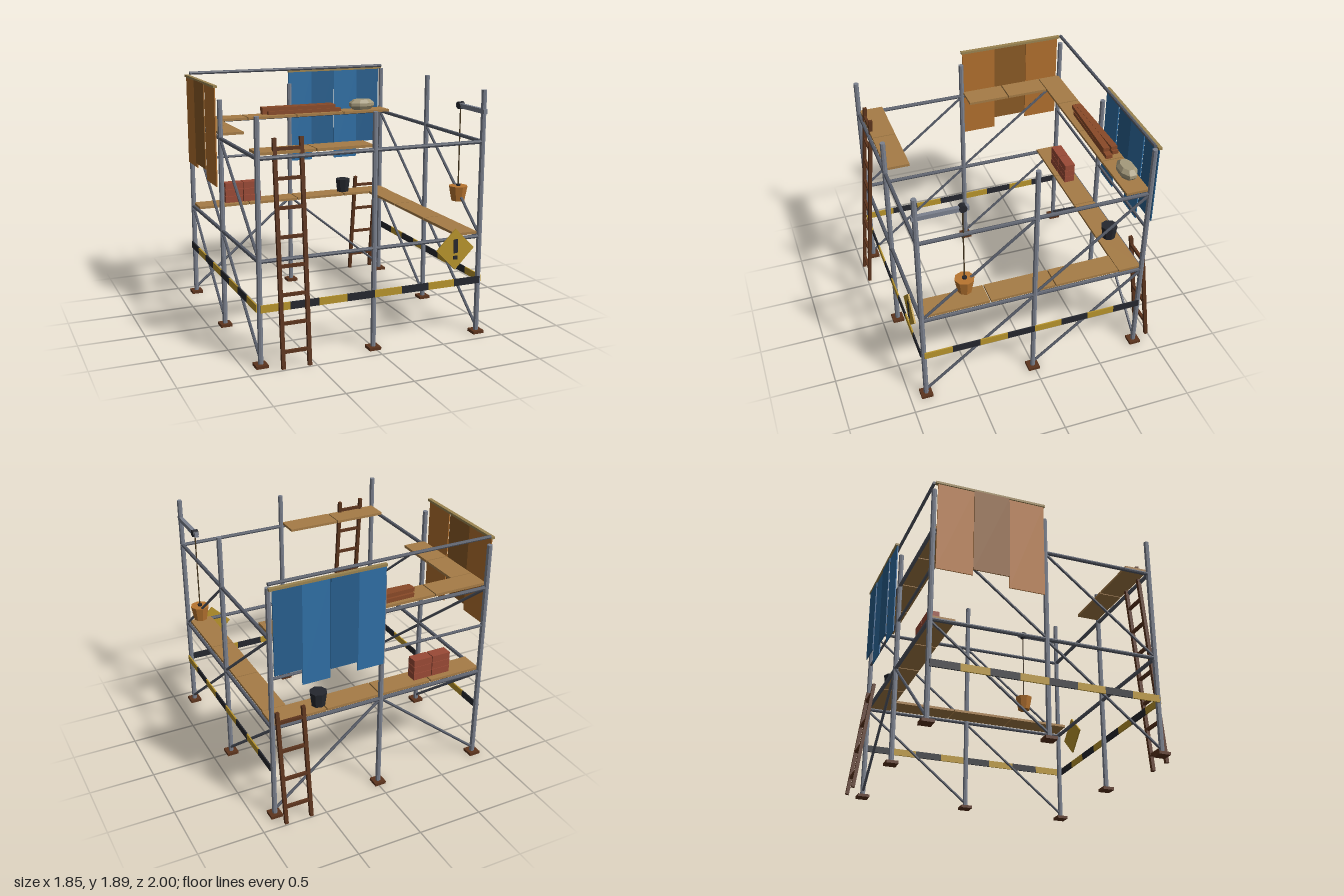
import * as THREE from 'three';

const H = 0.863, CX = -0.013, CZ = 0.01;      // half spacing and centre of the frame
const X = i => CX + i * H, Z = j => CZ + j * H;
const UP = new THREE.Vector3(0, 1, 0);
const V = (x, y, z) => new THREE.Vector3(x, y, z);

const mat = color => new THREE.MeshStandardMaterial({ color, flatShading: true });
const M = {
  post: mat(0x7b818e), rail: mat(0x585d69), wood: mat(0xa67c46), dark: mat(0x5c341d),
  beam: mat(0x8a4a28), blueA: mat(0x2f6fa5), blueB: mat(0x285f8e), tanA: mat(0xb06f2e),
  tanB: mat(0x8a5a26), yellow: mat(0xb8942c), black: mat(0x25272e), brick: mat(0x9a4a36),
  bucket: mat(0xb87530), sack: mat(0xa59a7c), rope: mat(0x4a3a22), bar: mat(0x9a8350),
};

export function createModel() {
  const root = new THREE.Group();
  root.name = 'scaffold';

  const group = name => {
    const g = new THREE.Group();
    g.name = name;
    root.add(g);
    return g;
  };
  const add = (parent, name, geo, m, x, y, z) => {
    const mesh = new THREE.Mesh(geo, m);
    mesh.name = name;
    mesh.position.set(x, y, z);
    parent.add(mesh);
    return mesh;
  };
  const box = (p, name, m, w, h, d, x, y, z) => add(p, name, new THREE.BoxGeometry(w, h, d), m, x, y, z);
  // round (or square) bar between two points
  const bar = (p, name, m, a, b, r, sides = 8) => {
    const dir = b.clone().sub(a);
    const c = a.clone().add(b).multiplyScalar(0.5);
    const mesh = add(p, name, new THREE.CylinderGeometry(r, r, dir.length(), sides), m, c.x, c.y, c.z);
    if (sides === 4) mesh.geometry.rotateY(Math.PI / 4);
    mesh.quaternion.setFromUnitVectors(UP, dir.normalize());
    return mesh;
  };

  // uprights on base plates
  const posts = group('uprights');
  [[-1, 1, 1.755], [0, 1, 1.74], [1, 1, 1.85], [1, 0, 1.87],
    [1, -1, 1.85], [0, -1, 1.75], [-1, -1, 1.81], [-1, 0, 1.76]].forEach(([i, j, h]) => {
    bar(posts, 'post', M.post, V(X(i), 0.01, Z(j)), V(X(i), h, Z(j)), 0.02);
    box(posts, 'basePlate', M.dark, 0.09, 0.022, 0.09, X(i), 0.011, Z(j));
  });

  // ledgers round both levels, guard rails at the back
  const rails = group('ledgers');
  for (const y of [0.76, 1.472]) for (const s of [-1, 1]) {
    bar(rails, 'ledger', M.rail, V(X(-1), y, Z(s)), V(X(1), y, Z(s)), 0.015);
    bar(rails, 'ledger', M.rail, V(X(s), y, Z(-1)), V(X(s), y, Z(1)), 0.015);
  }
  bar(rails, 'guardRail', M.rail, V(X(-1), 1.16, Z(-1)), V(X(1), 1.16, Z(-1)), 0.011);
  bar(rails, 'topRail', M.rail, V(X(-1), 1.873, Z(-1)), V(X(1), 1.873, Z(-1)), 0.013);

  // diagonal braces
  const braces = group('braces');
  for (const s of [-1, 1]) {
    bar(braces, 'backBrace', M.rail, V(X(s), 0.05, Z(-1)), V(X(0), 0.76, Z(-1)), 0.011, 6);
    for (const [y0, y1] of [[0.05, 0.75], [0.77, 1.465]]) for (const j of [0, 1])
      bar(braces, 'sideBrace', M.rail, V(X(s), y0, Z(j)), V(X(s), y1, Z(j - 1)), 0.011, 6);
  }

  // decks: four planks along the back of both levels, plus partial sides
  const deck = group('deckPlanks');
  for (const y of [0.783, 1.5]) for (let k = 0; k < 4; k++)
    box(deck, 'backPlank', M.wood, 0.422, 0.02, 0.175, X(-1) + 0.216 + k * 0.4315, y, -0.757);
  for (const z of [-0.5, -0.165])
    box(deck, 'leftPlank', M.wood, 0.18, 0.02, 0.325, -0.78, 1.5, z);
  for (const x of [-0.66, -0.232])
    box(deck, 'frontPlank', M.wood, 0.42, 0.02, 0.18, x, 1.5, 0.772);
  for (const z of [-0.415, 0.094, 0.603])
    box(deck, 'rightPlank', M.wood, 0.178, 0.02, 0.5, 0.75, 0.783, z);

  // striped barrier on the front and both sides
  const tape = group('barrierTape');
  const seg = H / 4;
  for (let k = 0; k < 8; k++) {
    const m = k % 2 ? M.black : M.yellow, t = (k + 0.5) * seg;
    box(tape, 'stripe', m, seg, 0.054, 0.01, X(-1) + t, 0.427, Z(1) + 0.021);
    for (const s of [-1, 1])
      box(tape, 'stripe', m, 0.01, 0.054, seg, X(s) + s * 0.021, 0.427, Z(1) - t);
  }

  // hanging sheets made of overlapping strips
  const blue = group('blueSheet');
  [1.075, 1.15, 1.075, 1.205].forEach((y, k) =>
    box(blue, 'strip', k % 2 ? M.blueB : M.blueA, 0.212, 1.85 - y, 0.008,
      0.097 + k * 0.212, (1.85 + y) / 2, -0.885 - (k % 2) * 0.009));
  box(blue, 'sheetBar', M.bar, 0.87, 0.018, 0.028, 0.425, 1.852, -0.888);
  const tan = group('tanSheet');
  [1.1, 1.185, 1.145].forEach((y, k) =>
    box(tan, 'strip', k % 2 ? M.tanB : M.tanA, 0.008, 1.85 - y, 0.275,
      -0.905 - (k % 2) * 0.01, (1.85 + y) / 2, -0.148 - k * 0.274));
  box(tan, 'sheetBar', M.bar, 0.03, 0.018, 0.85, -0.903, 1.855, -0.425);

  // leaning ladders
  const ladder = (name, xa, xb, zFoot, zTop, top, y0, step, n) => {
    const g = group(name);
    for (const x of [xa, xb])
      bar(g, 'ladderRail', M.dark, V(x, 0.005, zFoot), V(x, top, zTop), 0.019, 4);
    for (let k = 0; k < n; k++) {
      const y = y0 + k * step;
      box(g, 'rung', M.dark, xb - xa, 0.022, 0.022, (xa + xb) / 2, y, zFoot + (zTop - zFoot) * y / top);
    }
  };
  ladder('frontLadder', -0.747, -0.552, 0.985, 0.845, 1.6, 0.125, 0.2, 8);
  ladder('backLadder', 0.617, 0.817, -0.985, -0.868, 0.89, 0.14, 0.223, 4);

  // warning board
  const sign = group('warningBoard');
  const side = 0.155 * Math.SQRT2;
  box(sign, 'board', M.yellow, side, side, 0.012, 0.63, 0.69, 0.905).rotation.z = Math.PI / 4;
  box(sign, 'markBar', M.black, 0.034, 0.105, 0.006, 0.63, 0.715, 0.913);
  box(sign, 'markDot', M.black, 0.034, 0.028, 0.006, 0.63, 0.628, 0.913);

  // hoist arm, pulley, rope and hanging pail
  const hoist = group('hoist');
  box(hoist, 'arm', M.post, 0.03, 0.034, 0.4, X(1), 1.695, 0.7);
  bar(hoist, 'pulley', M.black, V(X(1) - 0.022, 1.698, 0.545), V(X(1) + 0.022, 1.698, 0.545), 0.029);
  bar(hoist, 'rope', M.rope, V(X(1), 1.07, 0.545), V(X(1), 1.69, 0.545), 0.005, 6);
  add(hoist, 'pail', new THREE.CylinderGeometry(0.074, 0.052, 0.115, 8), M.bucket, X(1), 1.02, 0.545);
  bar(hoist, 'pailHook', M.black, V(X(1), 1.075, 0.545), V(X(1), 1.09, 0.545), 0.018);

  // brick stack
  const bricks = group('brickStack');
  for (let r = 0; r < 3; r++) for (const x of [-0.561, -0.404])
    box(bricks, 'brick', M.brick, 0.15, 0.053, 0.085, x, 0.82 + r * 0.0565, -0.755);

  // dark bucket on the lower deck
  const pail = group('deckBucket');
  add(pail, 'bucketBody', new THREE.CylinderGeometry(0.066, 0.052, 0.11, 8), M.black, 0.448, 0.848, -0.763);

  // timber pile
  const pile = group('timberPile');
  [[0.04, 1.526, -0.795, 0.02], [0.08, 1.526, -0.74, -0.02],
    [0.03, 1.56, -0.785, 0.03], [0.03, 1.558, -0.742, -0.03]].forEach(([x, y, z, a]) => {
    const b = box(pile, 'timber', M.beam, 0.65, 0.03, 0.05, x, y, z);
    b.rotation.y = a;
  });

  // filled sack
  const sackGeo = new THREE.LatheGeometry(
    [[0, -0.043], [0.085, -0.043], [0.117, -0.012], [0.117, 0.014], [0.08, 0.043], [0, 0.043]]
      .map(([r, y]) => new THREE.Vector2(r, y)), 8);
  sackGeo.rotateY(Math.PI / 8);
  add(group('sack'), 'sackBody', sackGeo, M.sack, 0.627, 1.553, -0.768).scale.z = 0.6;

  return root;
}
